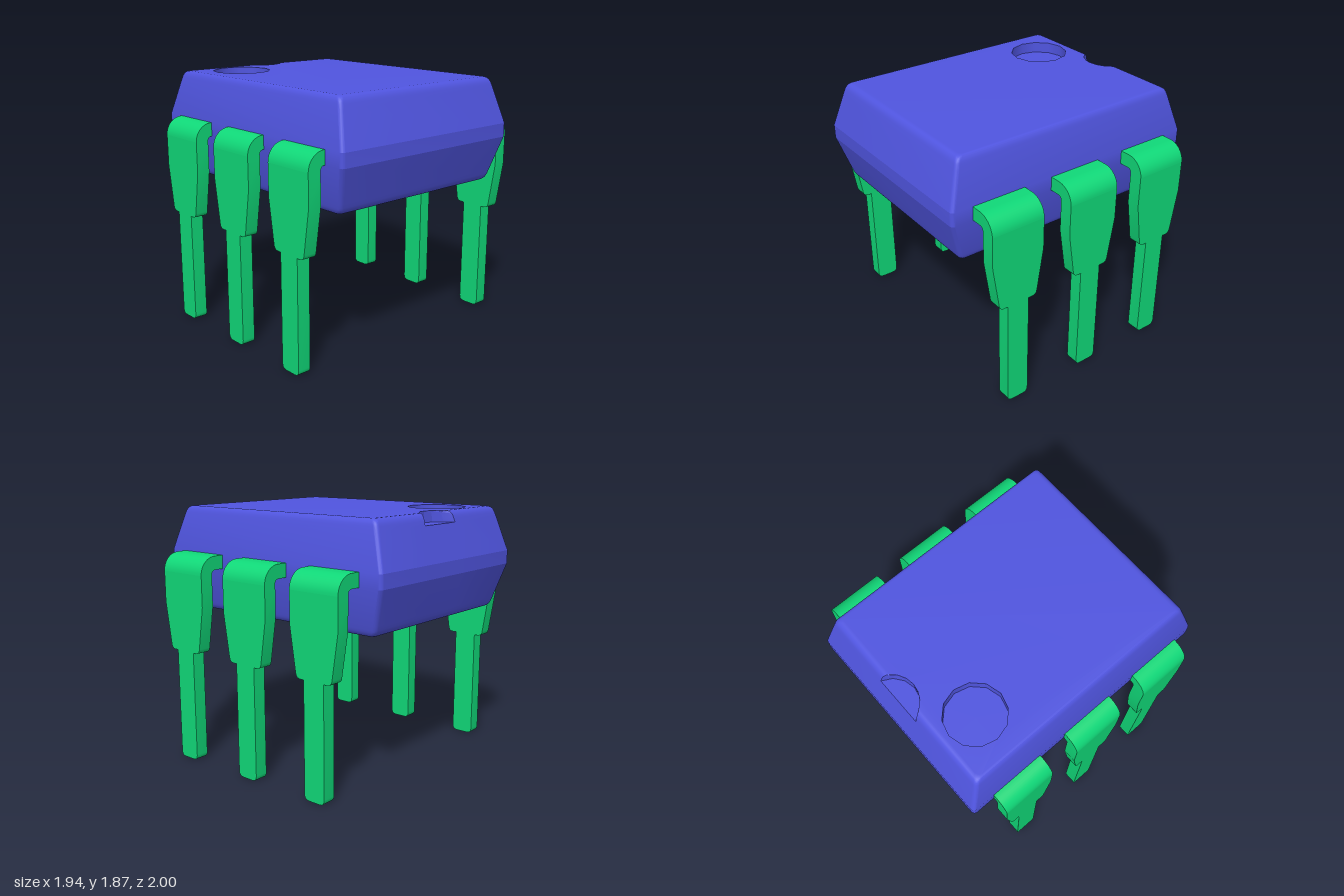
import * as THREE from 'three';
import { mergeGeometries, toCreasedNormals } from 'three/addons/utils/BufferGeometryUtils.js';

const BODY_X = -0.035, BODY_Y = 1.49, HALF_W = 0.8, HALF_D = 1;
const NOTCH = { z: -0.975, r: 0.19, segments: 6 };
const DIMPLE = { x: -0.415, z: -0.615, r: 0.215, depth: 0.08, sides: 12 };
const V2 = (x, y) => new THREE.Vector2(x, y);

// Body profile as (inset, height) pairs, mirrored about the middle band
function bodyLevels() {
  const edge = new THREE.QuadraticBezierCurve(V2(0.062, 0.33), V2(0.073, 0.38), V2(0.1, 0.38));
  const upper = [V2(0, 0.05), V2(0.055, 0.3), ...edge.getPoints(6)];
  const lower = upper.map((p) => V2(p.x, -p.y)).reverse();
  return { levels: [...lower, ...upper], floor: lower.length + 1 };
}

// Rounded rectangle that starts and ends at the two sides of the notch, as (x, z)
function outline(inset, notchHalf) {
  const w = HALF_W - inset, d = HALF_D - inset * 1.4, r = 0.03, n = 6;
  const pts = [V2(notchHalf, -d)];
  [[1, -1], [1, 1], [-1, 1], [-1, -1]].forEach(([sx, sz], c) => {
    for (let i = 0; i <= n; i++) {
      const a = (c - 1 + i / n) * Math.PI / 2;
      pts.push(V2(BODY_X + sx * (w - r) + r * Math.cos(a), sz * (d - r) + r * Math.sin(a)));
    }
  });
  pts.push(V2(-notchHalf, -d));
  return pts;
}

// Arc of the notch at one level, from its +x end to its -x end
function notchArc(inset) {
  const a0 = Math.asin((-(HALF_D - inset * 1.4) - NOTCH.z) / NOTCH.r);
  return Array.from({ length: NOTCH.segments + 1 }, (_, i) => {
    const a = a0 + (Math.PI - 2 * a0) * i / NOTCH.segments;
    return V2(NOTCH.r * Math.cos(a), NOTCH.z + NOTCH.r * Math.sin(a));
  });
}

// Horizontal face from (x, z) points, facing up or down
function flatFace(pts, y, up, hole) {
  const flip = (list) => list.map((p) => V2(p.x, up ? -p.y : p.y));
  const shape = new THREE.Shape(flip(pts));
  if (hole) shape.holes.push(new THREE.Path(flip(hole)));
  return new THREE.ShapeGeometry(shape).rotateX(up ? -Math.PI / 2 : Math.PI / 2).translate(0, y, 0);
}

function bodyGeometry() {
  const { levels, floor } = bodyLevels();
  const arcs = levels.map((l, k) => notchArc(k < floor ? levels[floor].x : l.x));
  const rings = levels.map((l, k) => outline(l.x, arcs[k][0].x));
  const pos = [];
  const put = (k, p) => pos.push(p.x, BODY_Y + levels[k].y, p.y);
  const quad = (k, a, b, c, d) => {
    put(k, a); put(k + 1, d); put(k + 1, c);
    put(k, a); put(k + 1, c); put(k, b);
  };
  for (let k = 0; k < levels.length - 1; k++) {
    const lo = rings[k], hi = rings[k + 1], n = lo.length;
    // The ring stays open where the notch cuts through it
    for (let j = 0; j < (k < floor ? n : n - 1); j++) {
      quad(k, lo[j], lo[(j + 1) % n], hi[(j + 1) % n], hi[j]);
    }
    if (k >= floor) {
      for (let j = 0; j < NOTCH.segments; j++) {
        quad(k, arcs[k][j + 1], arcs[k][j], arcs[k + 1][j], arcs[k + 1][j + 1]);
      }
    }
  }
  const side = new THREE.BufferGeometry();
  side.setAttribute('position', new THREE.Float32BufferAttribute(pos, 3));

  const top = levels.length - 1;
  const hole = Array.from({ length: DIMPLE.sides }, (_, i) => {
    const a = i / DIMPLE.sides * Math.PI * 2;
    return V2(DIMPLE.x + DIMPLE.r * Math.cos(a), DIMPLE.z + DIMPLE.r * Math.sin(a));
  });
  const topOutline = [...rings[top], ...arcs[top].slice(1, -1).reverse()];
  const faces = [
    flatFace(topOutline, BODY_Y + levels[top].y, true, hole),
    flatFace(rings[0], BODY_Y + levels[0].y, false),
    flatFace(arcs[floor], BODY_Y + levels[floor].y, true),
  ].map((g) => {
    const flat = g.toNonIndexed();
    flat.deleteAttribute('uv');
    flat.deleteAttribute('normal');
    return flat;
  });
  return toCreasedNormals(mergeGeometries([side, ...faces]), 0.285);
}

// Horizontal strip leaving the body and bending downwards
function bendGeometry(width) {
  const s = new THREE.Shape();
  s.moveTo(0.6, 1.54);
  s.lineTo(0.84, 1.54);
  s.absarc(0.84, 1.41, 0.13, Math.PI / 2, 0, true);
  s.lineTo(0.87, 1.41);
  s.absarc(0.84, 1.41, 0.03, 0, Math.PI / 2, false);
  s.lineTo(0.6, 1.44);
  const g = new THREE.ExtrudeGeometry(s, { depth: width, bevelEnabled: false, curveSegments: 6 });
  return toCreasedNormals(g.translate(0, 0, -width / 2), 0.5);
}

// Tapered blade with rounded shoulders and a narrow rounded leg
function bladeGeometry(half) {
  const s = new THREE.Shape(), leg = 0.086;
  s.moveTo(-half, 1.41);
  s.lineTo(-half, 1.18);
  s.lineTo(-0.155, 0.865);
  s.quadraticCurveTo(-0.15, 0.83, -0.115, 0.83);
  s.lineTo(-leg, 0.83);
  s.lineTo(-leg, 0.04);
  s.quadraticCurveTo(-leg, 0, -leg + 0.04, 0);
  s.lineTo(leg - 0.04, 0);
  s.quadraticCurveTo(leg, 0, leg, 0.04);
  s.lineTo(leg, 0.83);
  s.lineTo(0.115, 0.83);
  s.quadraticCurveTo(0.15, 0.83, 0.155, 0.865);
  s.lineTo(half, 1.18);
  s.lineTo(half, 1.41);
  const g = new THREE.ExtrudeGeometry(s, { depth: 0.1, bevelEnabled: false, curveSegments: 5 });
  return toCreasedNormals(g.rotateY(Math.PI / 2).translate(0.87, 0, 0), 0.5);
}

export function createModel() {
  const group = new THREE.Group();
  const blue = new THREE.MeshStandardMaterial({ color: 0x5055e0, side: THREE.DoubleSide });
  const green = new THREE.MeshStandardMaterial({ color: 0x10d878 });
  const add = (parent, name, geometry, material) => {
    const mesh = new THREE.Mesh(geometry, material);
    mesh.name = name;
    parent.add(mesh);
    return mesh;
  };

  // Package body with end notch
  add(group, 'body', bodyGeometry(), blue);

  // Round marker recess in the top
  const { x, z, r, depth, sides } = DIMPLE, topY = BODY_Y + 0.38;
  add(group, 'dimpleWall', new THREE.CylinderGeometry(r, r, depth, sides, 1, true), blue)
    .position.set(x, topY - depth / 2, z);
  add(group, 'dimpleFloor', new THREE.CircleGeometry(r, sides).rotateX(-Math.PI / 2), blue)
    .position.set(x, topY - depth, z);

  // Three pins on each side
  const bend = bendGeometry(0.408), blade = bladeGeometry(0.204);
  for (const side of ['left', 'right']) {
    [0.638, 0.008, -0.622].forEach((pz, i) => {
      const pin = new THREE.Group();
      pin.name = `${side}Pin${i + 1}`;
      add(pin, 'pinBend', bend, green);
      add(pin, 'pinBlade', blade, green);
      pin.position.z = pz;
      if (side === 'right') pin.rotation.y = Math.PI;
      group.add(pin);
    });
  }
  return group;
}
